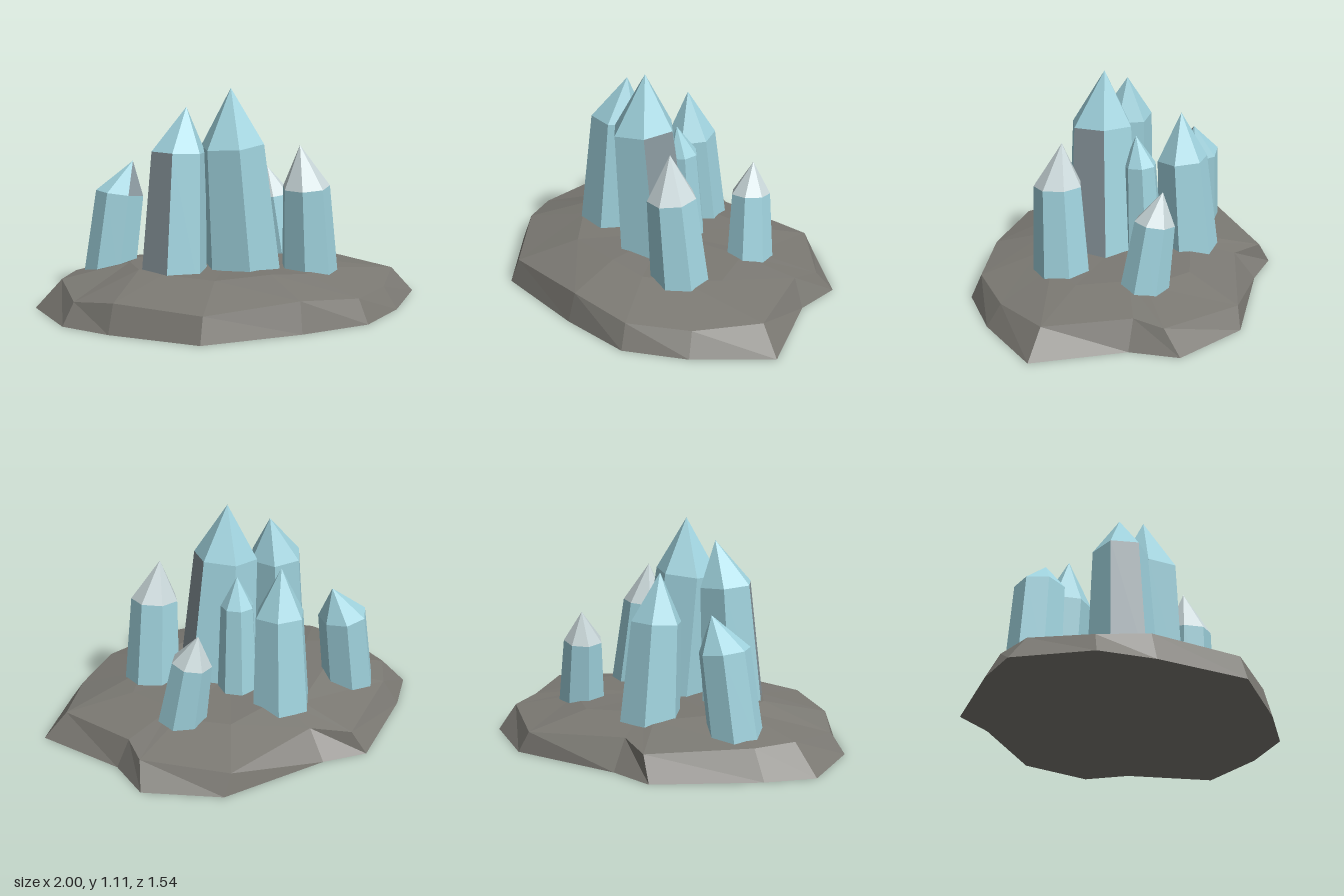
import * as THREE from 'three';

const mat = (name, color) => {
  const m = new THREE.MeshStandardMaterial({ color });
  m.name = name;
  return m;
};

// Separate triangles give hard facets
function facets(name, tris, material) {
  const g = new THREE.BufferGeometry();
  g.setAttribute('position', new THREE.Float32BufferAttribute(tris.flat(2), 3));
  g.computeVertexNormals();
  const mesh = new THREE.Mesh(g, material);
  mesh.name = name;
  return mesh;
}

const next = (ring, i) => ring[(i + 1) % ring.length];
const wallFace = (low, high, i) => [
  [low[i], high[i], next(high, i)],
  [low[i], next(high, i), next(low, i)],
];
const fan = (ring, tip) => ring.map((p, i) => [p, tip, next(ring, i)]);

// Ring of n points around a centre, square to the axis
function ringAt([cx, cy, cz], axis, r, n, offset) {
  return Array.from({ length: n }, (_, i) => {
    const a = THREE.MathUtils.degToRad(offset) + (i / n) * Math.PI * 2;
    const dx = r * Math.cos(a), dz = r * Math.sin(a);
    return [cx + dx, cy - (dx * axis[0] + dz * axis[2]) / axis[1], cz + dz];
  });
}

function makeRock(material) {
  // Foot x, z, then rim x, z, y
  const outline = [
    [-1.0, -0.045, -0.865, -0.04, 0.145], [-0.86, -0.257, -0.78, -0.235, 0.14],
    [-0.5, -0.645, -0.43, -0.61, 0.12], [-0.267, -0.645, -0.235, -0.54, 0.14],
    [0.29, -0.768, 0.245, -0.735, 0.105], [0.655, -0.605, 0.63, -0.51, 0.12],
    [0.71, -0.365, 0.645, -0.36, 0.145], [1.0, 0.01, 0.88, 0.005, 0.132],
    [0.785, 0.36, 0.73, 0.31, 0.11], [0.555, 0.593, 0.52, 0.55, 0.12],
    [0.2, 0.69, 0.2, 0.65, 0.15], [-0.3, 0.767, -0.28, 0.727, 0.125],
    [-0.69, 0.51, -0.66, 0.47, 0.14], [-0.89, 0.326, -0.83, 0.285, 0.108],
  ];
  const plateauY = [0.22, 0.215, 0.19, 0.2, 0.18, 0.18, 0.19, 0.185, 0.195, 0.2, 0.22, 0.215, 0.22, 0.225];
  const foot = outline.map(([x, z]) => [x, 0, z]);
  const rim = outline.map(([, , x, z, y]) => [x, y, z]);
  const plateau = rim.map(([x, , z], i) => [x * 0.6, plateauY[i], z * 0.6]);
  const tris = [];
  foot.forEach((p, i) => {
    tris.push(...wallFace(foot, rim, i), ...wallFace(rim, plateau, i));
    tris.push([[0, 0, 0], p, next(foot, i)]);
  });
  tris.push(...fan(plateau, [0, 0.205, 0]));
  return facets('rockBase', tris, material);
}

export function createModel() {
  const model = new THREE.Group();
  model.name = 'crystalCluster';
  const rock = mat('rock grey', 0x7b7973);
  const blue = mat('crystal blue', 0x9fd2dd);
  const pale = mat('pale tip', 0xc8d6d8);
  const slate = mat('slate facet', 0x87959b);

  model.add(makeRock(rock));

  // foot and shoulder: centre, radius; slateWall / slateTip pick single facets
  const crystals = [
    { name: 'centreCrystal', foot: [0.05, 0.1, 0.09], r0: 0.205, shoulder: [-0.015, 0.83, 0.125], r1: 0.165,
      tip: [-0.02, 1.112, 0.11], n: 6, offset: 30, slateWall: 5 },
    { name: 'frontLeftCrystal', foot: [-0.32, 0.1, 0.15], r0: 0.175, shoulder: [-0.285, 0.8, 0.115], r1: 0.14,
      tip: [-0.24, 1.02, 0.085], n: 6, offset: -8, slateWall: 2 },
    { name: 'backCrystal', foot: [-0.17, 0.1, -0.31], r0: 0.16, shoulder: [-0.17, 0.65, -0.26], r1: 0.13,
      tip: [-0.18, 0.892, -0.245], n: 6, offset: 55 },
    { name: 'sideCrystal', foot: [-0.61, 0.1, -0.165], r0: 0.135, shoulder: [-0.545, 0.555, -0.185], r1: 0.125,
      tip: [-0.475, 0.718, -0.2], n: 7, offset: 180 + 360 / 7, slateTip: 3 },
    { name: 'smallCentreCrystal', foot: [0.0, 0.1, -0.125], r0: 0.11, shoulder: [-0.005, 0.645, -0.095], r1: 0.085,
      tip: [-0.01, 0.795, -0.07], n: 7, offset: 20 },
    { name: 'frontRightCrystal', foot: [0.385, 0.1, 0.15], r0: 0.15, shoulder: [0.35, 0.615, 0.185], r1: 0.122,
      tip: [0.32, 0.826, 0.177], n: 7, offset: 10, paleTip: true },
    { name: 'backRightCrystal', foot: [0.36, 0.1, -0.28], r0: 0.125, shoulder: [0.305, 0.49, -0.315], r1: 0.1,
      tip: [0.28, 0.645, -0.346], n: 7, offset: 0, paleTip: true },
  ];

  for (const c of crystals) {
    const axis = c.shoulder.map((v, i) => v - c.foot[i]);
    const low = ringAt(c.foot, axis, c.r0, c.n, c.offset);
    const high = ringAt(c.shoulder, axis, c.r1, c.n, c.offset);
    const plain = [], special = [], point = [];
    low.forEach((_, i) => (i === c.slateWall ? special : plain).push(...wallFace(low, high, i)));
    fan(high, c.tip).forEach((t, i) => (i === c.slateTip ? special : point).push(t));

    const group = new THREE.Group();
    group.name = c.name;
    group.add(facets('shaft', plain, blue), facets('point', point, c.paleTip ? pale : blue));
    if (special.length) group.add(facets('slateFacet', special, slate));
    model.add(group);
  }
  return model;
}
